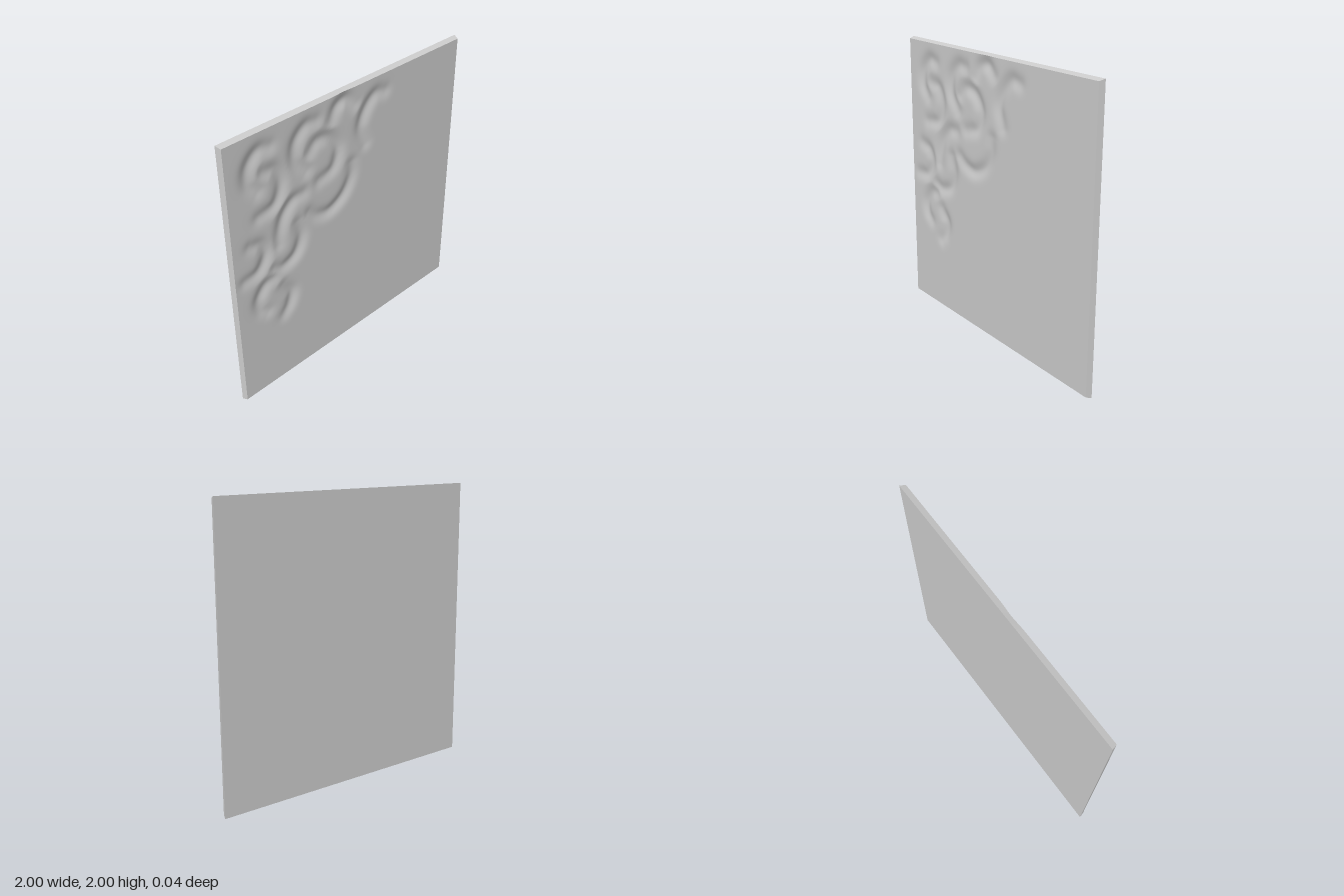
import * as THREE from 'three';

const FRONT = 0.988, BACK = 1, HALF_DEPTH = 0.019, N = 150;
const GROOVE_DEPTH = 0.02, GROOVE_WIDTH = 0.048;

// Centre lines of the carved scrolls, as x, y pairs
const scrolls = [
  [[-0.66, 1.86], [-0.74, 1.87], [-0.82, 1.79], [-0.83, 1.68], [-0.77, 1.6]],
  [[-0.71, 1.71], [-0.63, 1.69], [-0.59, 1.57], [-0.64, 1.45], [-0.77, 1.42]],
  [[-0.3, 1.88], [-0.38, 1.88], [-0.46, 1.8], [-0.47, 1.68], [-0.39, 1.57]],
  [[-0.36, 1.68], [-0.29, 1.74], [-0.19, 1.72], [-0.12, 1.61], [-0.16, 1.49], [-0.28, 1.45]],
  [[-0.17, 1.83], [-0.12, 1.91], [-0.05, 1.93], [0.02, 1.87]],
  [[0.29, 1.86], [0.21, 1.87], [0.13, 1.8], [0.08, 1.68], [0.12, 1.55]],
  [[-0.37, 1.25], [-0.3, 1.2], [-0.2, 1.18], [-0.08, 1.24], [-0.01, 1.35], [0, 1.45]],
  [[-0.42, 1.42], [-0.5, 1.41], [-0.58, 1.33], [-0.62, 1.22], [-0.63, 1.14]],
  [[-0.47, 1.22], [-0.45, 1.1], [-0.5, 0.99], [-0.6, 0.95], [-0.67, 0.97]],
  [[-0.85, 1.24], [-0.77, 1.21], [-0.74, 1.12], [-0.8, 1.02], [-0.91, 1.0]],
  [[-0.69, 0.9], [-0.76, 0.88], [-0.82, 0.79], [-0.81, 0.71], [-0.76, 0.66]],
  [[-0.61, 0.79], [-0.55, 0.7], [-0.57, 0.61], [-0.62, 0.55]],
].map((pts) => {
  const curve = new THREE.CatmullRomCurve3(pts.map(([x, y]) => new THREE.Vector3(x, y - 1, 0)));
  return curve.getSpacedPoints(40);
});

// Height of the front face: a soft groove that fades towards the ends of each scroll
function frontZ(x, y) {
  let cut = 0;
  for (const pts of scrolls) {
    pts.forEach((p, i) => {
      const d2 = (p.x - x) ** 2 + (p.y - y) ** 2;
      if (d2 > 0.02) return;
      const t = i / (pts.length - 1);
      const fade = 0.55 + 0.45 * Math.sin(Math.PI * t);
      cut = Math.max(cut, fade * Math.exp(-d2 / GROOVE_WIDTH ** 2));
    });
  }
  return HALF_DEPTH - GROOVE_DEPTH * cut;
}

export function createModel() {
  const group = new THREE.Group();
  const material = new THREE.MeshStandardMaterial({ color: 0xcccccc });
  const add = (name, geometry) => {
    const mesh = new THREE.Mesh(geometry, material);
    mesh.name = name;
    mesh.position.y = 1;
    group.add(mesh);
    return mesh;
  };

  // Carved front face
  const face = new THREE.PlaneGeometry(2 * FRONT, 2 * FRONT, N, N);
  const pos = face.attributes.position;
  for (let i = 0; i < pos.count; i++) pos.setZ(i, frontZ(pos.getX(i), pos.getY(i)));
  face.computeVertexNormals();
  add('carvedFace', face);

  // Slanted rim, following the face edge so grooves can run out over it
  const corners = [[-1, -1], [1, -1], [1, 1], [-1, 1]];
  const verts = [];
  for (let s = 0; s < 4; s++) {
    const [ax, ay] = corners[s], [bx, by] = corners[(s + 1) % 4];
    const column = (i) => {
      const t = i / N, x = ax + (bx - ax) * t, y = ay + (by - ay) * t;
      return {
        front: [x * FRONT, y * FRONT, frontZ(x * FRONT, y * FRONT)],
        back: [x * BACK, y * BACK, -HALF_DEPTH],
      };
    };
    for (let i = 0; i < N; i++) {
      const a = column(i), b = column(i + 1);
      verts.push(...a.back, ...b.back, ...b.front, ...a.back, ...b.front, ...a.front);
    }
  }
  const rim = new THREE.BufferGeometry();
  rim.setAttribute('position', new THREE.Float32BufferAttribute(verts, 3));
  rim.computeVertexNormals();
  add('slantedRim', rim);

  // Flat back
  const back = add('backPanel', new THREE.PlaneGeometry(2 * BACK, 2 * BACK));
  back.rotation.y = Math.PI;
  back.position.z = -HALF_DEPTH;

  return group;
}
